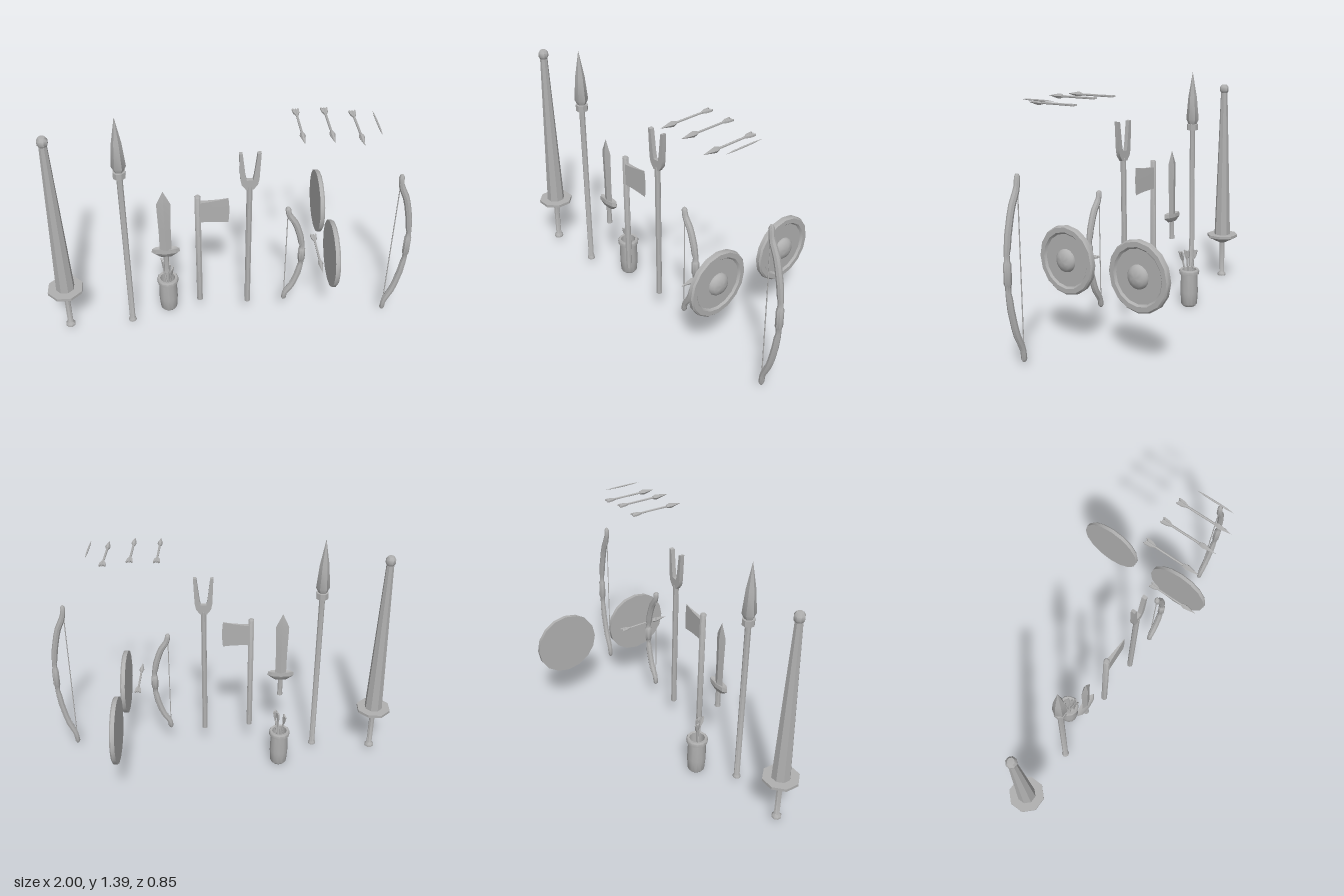
import * as THREE from 'three';
import { toCreasedNormals } from 'three/addons/utils/BufferGeometryUtils.js';

const Z = 0.235; // depth of the weapon row

export function createModel() {
  const model = new THREE.Group();
  model.name = 'weaponCollection';
  const grey = new THREE.MeshStandardMaterial({ color: 0xb0b0b0 });
  grey.name = 'grey';

  const group = (name, x, y, z, parent = model) => {
    const g = new THREE.Group();
    g.name = name;
    g.position.set(x, y, z);
    parent.add(g);
    return g;
  };
  const add = (parent, name, geo) => {
    const m = new THREE.Mesh(toCreasedNormals(geo, 0.72), grey);
    m.name = name;
    parent.add(m);
    return m;
  };
  // turned solid from [radius, height] pairs, listed upwards
  const lathe = (pts, sides, turn = 0) =>
    new THREE.LatheGeometry(pts.map(([r, y]) => new THREE.Vector2(r, y)), sides, turn);
  // flat plate centred on z = 0
  const plate = (pts, depth) => new THREE.ExtrudeGeometry(
    new THREE.Shape(pts.map(([x, y]) => new THREE.Vector2(x, y))),
    { depth, bevelEnabled: false }).translate(0, 0, -depth / 2);
  // round limb through [x, y, radius] stations, listed upwards, closed at both ends
  const limb = (pts, sides) => {
    const pos = [], idx = [];
    pts.forEach(([x, y, r], i) => {
      const a = pts[Math.max(i - 1, 0)], b = pts[Math.min(i + 1, pts.length - 1)];
      const dir = new THREE.Vector2(b[0] - a[0], b[1] - a[1]).normalize();
      for (let j = 0; j < sides; j++) {
        const t = (j / sides) * Math.PI * 2;
        pos.push(x + dir.y * r * Math.cos(t), y - dir.x * r * Math.cos(t), r * Math.sin(t));
        if (i === 0) continue;
        const k = (j + 1) % sides, p = (i - 1) * sides, q = i * sides;
        idx.push(p + j, q + j, p + k, p + k, q + j, q + k);
      }
    });
    const g = new THREE.BufferGeometry();
    g.setAttribute('position', new THREE.Float32BufferAttribute(pos, 3));
    g.setIndex(idx);
    return g;
  };

  // lance
  const lance = group('lance', -0.907, 0, Z - 0.005);
  const eighth = Math.PI / 8;
  add(lance, 'lanceGrip', lathe([[0, 0.03], [0.027, 0.03], [0.027, 0.043], [0.016, 0.055], [0.016, 0.27]], 8, eighth));
  add(lance, 'lanceGuard', lathe([[0, 0.257], [0.02, 0.257], [0.1, 0.298], [0.1, 0.314], [0, 0.314]], 8, eighth));
  add(lance, 'lanceShaft', lathe([[0.052, 0.31], [0.021, 1.25]], 8, eighth));
  add(lance, 'lanceKnob', lathe([[0.019, 1.24], [0.028, 1.255], [0.028, 1.278], [0.018, 1.293], [0, 1.295]], 8, eighth));

  // spear
  const spear = group('spear', -0.555, 0, Z - 0.005);
  add(spear, 'spearShaft', lathe([[0, 0.04], [0.022, 0.04], [0.022, 0.05], [0.016, 0.06], [0.016, 1.05]], 8));
  add(spear, 'spearCollar', lathe([[0, 1.038], [0.034, 1.04], [0.034, 1.076], [0, 1.078]], 8, eighth));
  add(spear, 'spearHead', lathe([[0.024, 1.075], [0.038, 1.105], [0.026, 1.24], [0, 1.39]], 6, Math.PI / 6));

  // short sword
  const sword = group('sword', -0.345, 0, Z - 0.005);
  add(sword, 'swordGrip', lathe([[0, 0.4], [0.017, 0.4], [0.014, 0.42], [0.014, 0.52]], 8));
  add(sword, 'swordGuard', lathe([[0, 0.507], [0.04, 0.507], [0.077, 0.535], [0.073, 0.557], [0.04, 0.551], [0, 0.551]], 8))
    .scale.z = 0.3;
  add(sword, 'swordBlade', lathe([[0.032, 0.545], [0.032, 0.67], [0.037, 0.855], [0, 0.937]], 4)).scale.z = 0.38;

  // axe
  const axe = group('axe', -0.168, 0, Z);
  add(axe, 'axeHandle', lathe([[0, 0.18], [0.017, 0.18], [0.017, 0.895], [0.012, 0.902], [0, 0.902]], 8, eighth));
  const bit = new THREE.BoxGeometry(1, 1, 1, 4, 4, 2);
  const bp = bit.attributes.position;
  for (let i = 0; i < bp.count; i++) {
    const t = bp.getX(i) + 0.5, v = bp.getY(i);
    // flares and thins towards a slightly bowed edge
    bp.setXYZ(i, t * (0.165 - 0.02 * v * v), 0.8 + v * (0.125 + 0.033 * t * t), bp.getZ(i) * (0.026 - 0.024 * t));
  }
  bit.computeVertexNormals();
  add(axe, 'axeBlade', bit);

  // two-pronged fork
  const fork = group('fork', 0.1, 0, Z);
  add(fork, 'forkHandle', lathe([[0, 0.148], [0.016, 0.148], [0.016, 0.95], [0, 0.95]], 8, eighth));
  const half = [[0.02, 0.935], [0.042, 0.965], [0.049, 1.0], [0.056, 1.155], [0.038, 1.152], [0.022, 1.02], [0.016, 0.992]];
  add(fork, 'forkProngs', plate([...half, ...half.map(([x, y]) => [-x, y]).reverse()], 0.024));

  // bows: upper half stations, mirrored for the lower half
  const upper = [
    [0.086, 0.05, 0.02], [0.086, 0.062, 0.015], [0.086, 0.095, 0.014], [0.081, 0.125, 0.017],
    [0.073, 0.19, 0.018], [0.054, 0.28, 0.018], [0.04, 0.33, 0.018], [0.013, 0.39, 0.017],
    [0.004, 0.42, 0.015], [0, 0.462, 0.015], [0, 0.477, 0.008], [0, 0.478, 0]];
  const makeBow = (name, x, y, s) => {
    const bow = group(name, x, y, Z);
    const top = upper.map(([px, py, r]) => [px, py * s, r]);
    add(bow, 'bowLimbs', limb([...top.map(([px, py, r]) => [px, -py, r]).reverse(), ...top], 8));
    add(bow, 'bowString', new THREE.CylinderGeometry(0.003, 0.003, 0.8 * s, 6).translate(0, 0, 0));
  };
  makeBow('smallBow', 0.307, 0.473, 0.685);
  makeBow('largeBow', 0.89, 0.498, 1);

  // round shields facing +x
  for (const z of [0.24, -0.24]) {
    const shield = group('shield', 0.548, 0.47, z);
    shield.rotation.z = -Math.PI / 2;
    add(shield, 'shieldBoard', lathe([[0, 0], [0.186, 0], [0.186, 0.02], [0.178, 0.028], [0.152, 0.028], [0.142, 0.017], [0, 0.017]], 16));
    add(shield, 'shieldBoss', lathe([[0.063, 0.015], [0.06, 0.03], [0.048, 0.042], [0.026, 0.05], [0, 0.053]], 16));
  }

  // arrows, built pointing up +y and then turned
  const makeArrow = (parent, name, from, dir) => {
    const arrow = group(name, ...from, parent);
    arrow.quaternion.setFromUnitVectors(new THREE.Vector3(0, 1, 0), new THREE.Vector3(...dir).normalize());
    add(arrow, 'arrowShaft', lathe([[0, 0], [0.006, 0], [0.006, 0.23]], 6));
    add(arrow, 'arrowHead', lathe([[0, 0.215], [0.009, 0.218], [0.015, 0.24], [0.007, 0.28], [0, 0.315]], 6, Math.PI / 6));
    add(arrow, 'arrowFletching', plate([[0, 0.016], [0.013, -0.006], [0.018, 0], [0.015, 0.032], [0.005, 0.055],
      [-0.005, 0.055], [-0.015, 0.032], [-0.018, 0], [-0.013, -0.006]], 0.009));
  };
  for (const [x, y] of [[0.337, 1.31], [0.48, 1.31], [0.625, 1.287], [0.48, 0.49]]) {
    makeArrow(model, 'arrow', [x, y, 0.1], [0, 0, 1]);
  }
  const dart = group('dart', 0.718, 1.31, 0.14);
  dart.rotation.x = Math.PI / 2;
  add(dart, 'dartBody', lathe([[0, 0], [0.004, 0.05], [0.005, 0.12], [0.004, 0.18], [0, 0.23]], 6));

  // quiver with three arrows, points down
  const quiver = group('quiver', -0.345, 0, 0.1);
  add(quiver, 'quiverBody', lathe([[0, 0], [0.038, 0], [0.048, 0.012], [0.053, 0.09], [0.05, 0.2], [0.06, 0.202],
    [0.061, 0.222], [0.056, 0.23], [0.043, 0.228], [0.04, 0.03], [0, 0.03]], 12));
  for (const [x, y, z] of [[-0.026, 0.345, -0.02], [0.013, 0.345, 0.01], [0.03, 0.335, 0.042]]) {
    makeArrow(quiver, 'quiverArrow', [x, y, z], [-x * 1.3, -0.3, -z * 1.3]);
  }
  return model;
}
